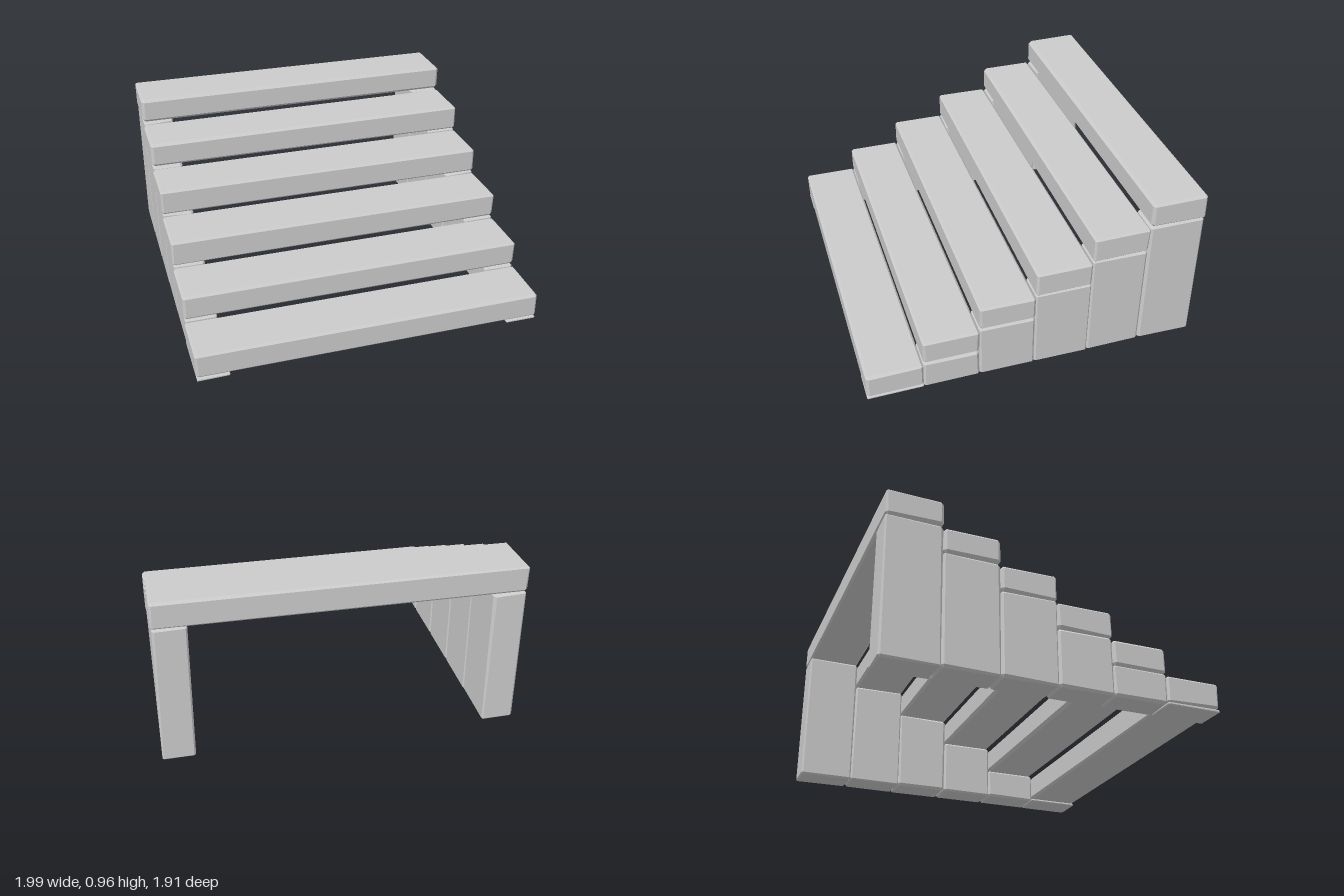
import * as THREE from 'three';
import { ConvexGeometry } from 'three/addons/geometries/ConvexGeometry.js';

const STEPS = 6;
const DEPTH = 0.318;

// small seeded generator for the hand-hewn unevenness
let seed = 7;
function wobble(amount) {
  seed = (seed * 16807) % 2147483647;
  return (seed / 2147483647 - 0.5) * 2 * amount;
}

// box with chamfered, slightly uneven corners
function hewnBox(w, h, d, chamfer) {
  const c = Math.min(chamfer, h * 0.3);
  const points = [];
  for (const sx of [-1, 1]) for (const sy of [-1, 1]) for (const sz of [-1, 1]) {
    const k = c + wobble(c * 0.4);
    const x = w / 2, y = h / 2, z = d / 2;
    points.push(
      new THREE.Vector3(sx * x, sy * (y - k), sz * (z - k)),
      new THREE.Vector3(sx * (x - k), sy * y, sz * (z - k)),
      new THREE.Vector3(sx * (x - k), sy * (y - k), sz * z)
    );
  }
  return new ConvexGeometry(points);
}

export function createModel() {
  seed = 7;
  const group = new THREE.Group();
  group.name = 'steps';
  const material = new THREE.MeshStandardMaterial({ color: 0xcccccc, flatShading: true });

  function add(name, geometry, x, y, z) {
    const mesh = new THREE.Mesh(geometry, material);
    mesh.name = name;
    mesh.position.set(x, y, z);
    group.add(mesh);
  }

  for (let i = 0; i < STEPS; i++) {
    const z = 0.797 - i * DEPTH;
    const top = 0.165 + i * 0.159;
    const underside = top - 0.149;

    // tread plank across the full width
    add('tread' + (i + 1), hewnBox(1.99, 0.149, DEPTH, 0.013), 0, (top + underside) / 2, z);

    // supporting post under each end
    for (const [side, s] of [['left', 1], ['right', -1]]) {
      add(side + 'Post' + (i + 1), hewnBox(0.18, underside, DEPTH, 0.012), s * 0.9, underside / 2, z);
    }
  }
  return group;
}
